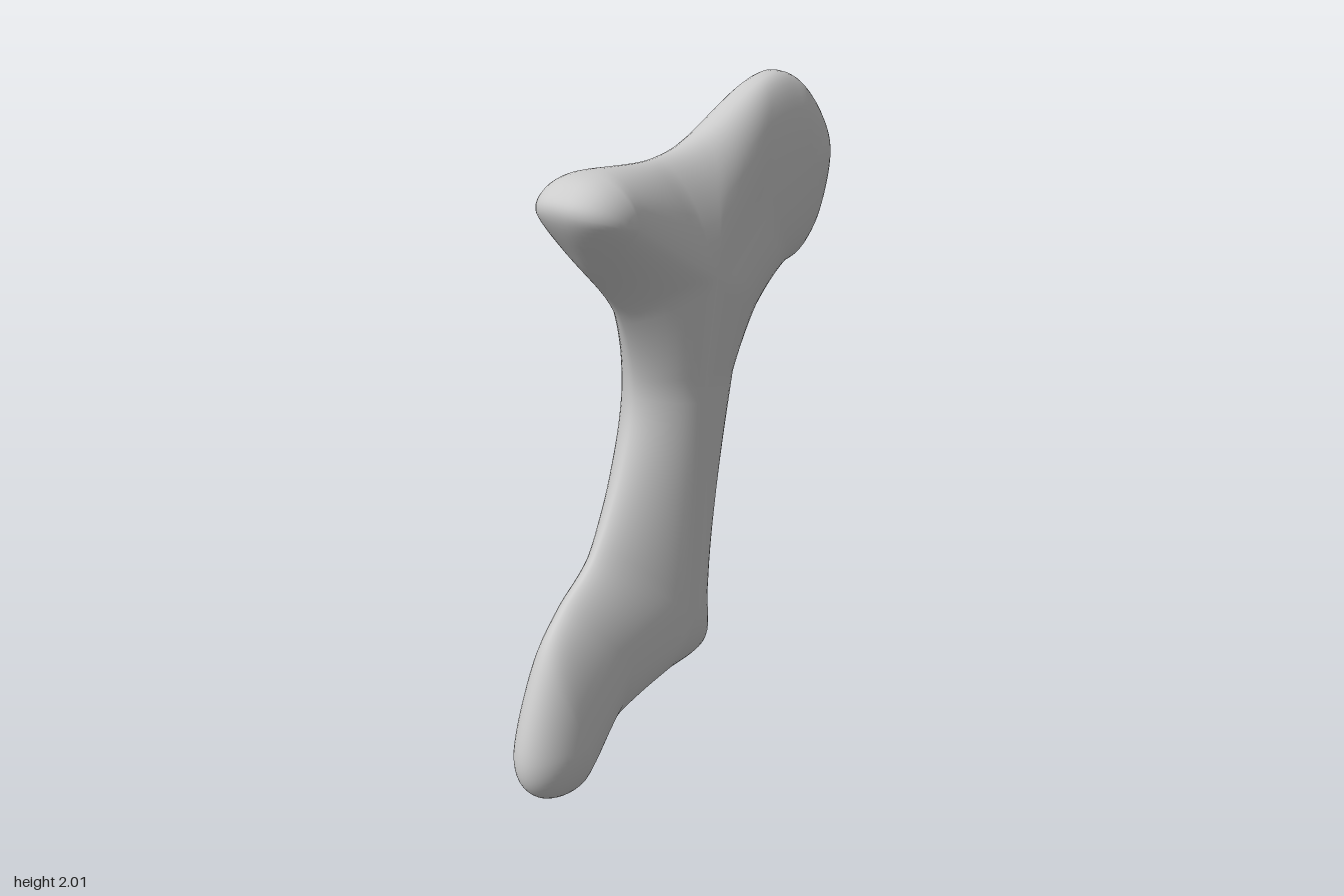
import * as THREE from 'three';

// Inner spine nodes: z, y, centre x, half thickness
const SPINE = [
  [0.62, 0.20, 0.02, 0.105],  // 0 foot
  [0.40, 0.38, 0.01, 0.12],   // 1 instep
  [0.13, 0.42, 0.00, 0.158],  // 2 heel flange
  [0.07, 0.80, -0.01, 0.143], // 3 shaft
  [0.02, 1.15, -0.02, 0.132], // 4 neck
  [0.00, 1.50, -0.01, 0.15],  // 5 junction
  [0.36, 1.73, -0.01, 0.15],  // 6 front arm
  [-0.30, 1.66, 0.00, 0.10],  // 7 blade
  [-0.56, 1.72, -0.01, 0.11], // 8 blade end
];

// Side outline: z, y, spine node it swells towards, squareness of the swelling
const OUTLINE = [
  // front arm tip and front edge, going down
  [0.525, 1.77, 6, 2.4], [0.43, 1.62, 6, 1.7], [0.28, 1.43, 5, 1.5], [0.21, 1.18, 4, 1.7],
  [0.27, 0.96, 3, 1.7], [0.42, 0.72, 2, 1.6], [0.58, 0.61, 1, 1.7],
  // foot
  [0.69, 0.49, 0, 1.9], [0.795, 0.20, 0, 2], [0.74, 0.05, 0, 2], [0.58, 0.005, 0, 2],
  // underside and heel flange
  [0.45, 0.14, 1, 2], [0.25, 0.21, 2, 2.4], [0.0, 0.25, 2, 2.8],
  // back edge, going up
  [-0.01, 0.54, 2, 3], [-0.10, 0.82, 3, 2.8], [-0.24, 1.13, 4, 2.3], [-0.36, 1.29, 5, 2.1],
  // blade
  [-0.50, 1.38, 7, 2.4], [-0.62, 1.40, 8, 2.2], [-0.73, 1.50, 8, 2], [-0.79, 1.70, 8, 2],
  [-0.73, 1.85, 8, 2], [-0.56, 1.99, 8, 2.4], [-0.38, 2.00, 7, 2.5],
  // saddle and top of the front arm
  [-0.10, 1.88, 5, 2], [0.12, 1.85, 5, 1.8], [0.38, 1.87, 6, 2.2], [0.49, 1.84, 6, 2.4],
];

const STEPS = 8;   // samples between outline points
const RINGS = 12;  // rings from the outline to the spine on each side

function createBoneGeometry() {
  const count = OUTLINE.length;
  const total = count * STEPS;
  const edge = new THREE.CatmullRomCurve3(
    OUTLINE.map(([z, y]) => new THREE.Vector3(0, y, z)), true, 'catmullrom', 0.5);
  const { lerp } = THREE.MathUtils;
  const positions = [];
  const indices = [];

  // Rings run from the right spine, out over the edge, to the left spine
  for (let j = -RINGS; j <= RINGS; j++) {
    const s = (Math.abs(j) / RINGS) ** 2;
    for (let i = 0; i < total; i++) {
      const a = OUTLINE[Math.floor(i / STEPS)];
      const b = OUTLINE[(Math.floor(i / STEPS) + 1) % count];
      const f = (i % STEPS) / STEPS;
      const [z, y, centre, half] = SPINE[a[2]].map((v, k) => lerp(v, SPINE[b[2]][k], f));
      const power = lerp(a[3], b[3], f);
      const rim = edge.getPoint(i / total);
      const swell = (1 - (1 - s) ** power) ** (1 / power);
      positions.push(centre + Math.sign(j) * half * swell, lerp(rim.y, y, s), lerp(rim.z, z, s));
    }
  }
  for (let j = 0; j < 2 * RINGS; j++) {
    for (let i = 0; i < total; i++) {
      const n = (i + 1) % total;
      const p = j * total + i, q = j * total + n;
      indices.push(p, q, q + total, p, q + total, p + total);
    }
  }

  const geometry = new THREE.BufferGeometry();
  geometry.setAttribute('position', new THREE.Float32BufferAttribute(positions, 3));
  geometry.setIndex(indices);
  geometry.computeVertexNormals();

  // The spine lines are the crests of both sides, so they face straight outwards
  const normal = geometry.attributes.normal;
  for (let i = 0; i < total; i++) {
    normal.setXYZ(i, -1, 0, 0);
    normal.setXYZ(2 * RINGS * total + i, 1, 0, 0);
  }
  return geometry;
}

export function createModel() {
  const group = new THREE.Group();
  group.name = 'bone';
  const material = new THREE.MeshStandardMaterial({ color: 0xcccccc, side: THREE.DoubleSide });
  const bone = new THREE.Mesh(createBoneGeometry(), material);
  bone.name = 'boneBody';
  group.add(bone);
  return group;
}
